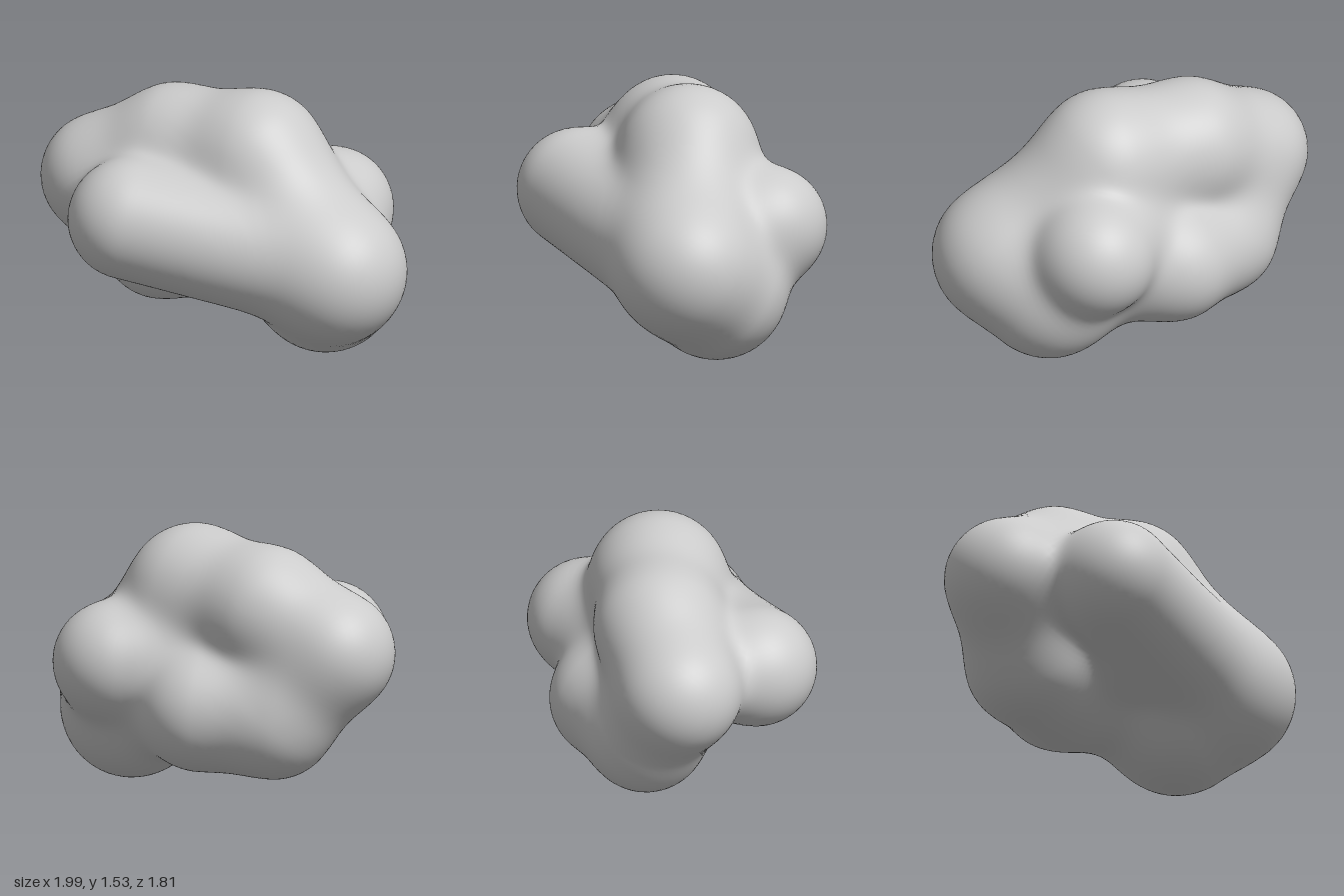
import * as THREE from 'three';
import { mergeVertices } from 'three/addons/utils/BufferGeometryUtils.js';

const V = (x, y, z) => new THREE.Vector3(x, y, z);

// centres of the lobes
const leftFront = V(-0.61, 0.83, 0.08), rightFront = V(0.53, 0.58, 0.48), foot = V(0.53, 0.41, 0.2);
const backLeft = V(-0.64, 0.88, -0.55), ridge = V(-0.25, 1.09, -0.35), crown = V(0.16, 1.13, 0);
const sideLobe = V(0.64, 0.75, -0.13), core = V(0, 0.75, -0.05);
const lowBackA = V(-0.3, 0.49, -0.5), lowBackB = V(0.12, 0.51, -0.4);

// rounded bars between lobes: start, end, start radius, end radius
const bars = [
  [leftFront, rightFront, 0.35, 0.355],
  [rightFront, foot, 0.36, 0.4],
  [crown, rightFront, 0.36, 0.355],
  [backLeft, ridge, 0.33, 0.34],
  [ridge, crown, 0.34, 0.36],
  [backLeft, lowBackA, 0.31, 0.32],
  [lowBackA, lowBackB, 0.32, 0.34],
  [lowBackB, foot, 0.27, 0.27],
  [sideLobe, core, 0.345, 0.38],
];

// smoothly blended distance to all bars
const K = 0.06;
const pa = V(0, 0, 0), ba = V(0, 0, 0);
function distance(p) {
  let sum = 0;
  for (const [a, b, ra, rb] of bars) {
    pa.subVectors(p, a);
    ba.subVectors(b, a);
    const t = THREE.MathUtils.clamp(pa.dot(ba) / ba.lengthSq(), 0, 1);
    const d = pa.addScaledVector(ba, -t).length() - (ra + (rb - ra) * t);
    sum += Math.exp(-d / K);
  }
  return -K * Math.log(sum);
}

export function createModel() {
  const group = new THREE.Group();
  group.name = 'lumpyBoulder';

  // shrink a fine sphere onto the blended lobes
  let geo = new THREE.IcosahedronGeometry(1, 28);
  geo.deleteAttribute('uv');
  geo.deleteAttribute('normal');
  geo = mergeVertices(geo, 1e-4);
  const pos = geo.attributes.position, dir = V(0, 0, 0), p = V(0, 0, 0);
  for (let i = 0; i < pos.count; i++) {
    dir.fromBufferAttribute(pos, i).normalize();
    let r = 1.7;
    for (let s = 0; s < 80; s++) {
      const d = distance(p.copy(core).addScaledVector(dir, r));
      if (d < 0.0005) break;
      r -= d * 0.8;
    }
    pos.setXYZ(i, p.x, p.y, p.z);
  }

  // stand it on the ground
  geo.computeBoundingBox();
  geo.translate(0, -geo.boundingBox.min.y, 0);
  geo.computeVertexNormals();

  const body = new THREE.Mesh(geo, new THREE.MeshStandardMaterial({ color: 0xcccccc }));
  body.name = 'boulderBody';
  group.add(body);
  return group;
}
